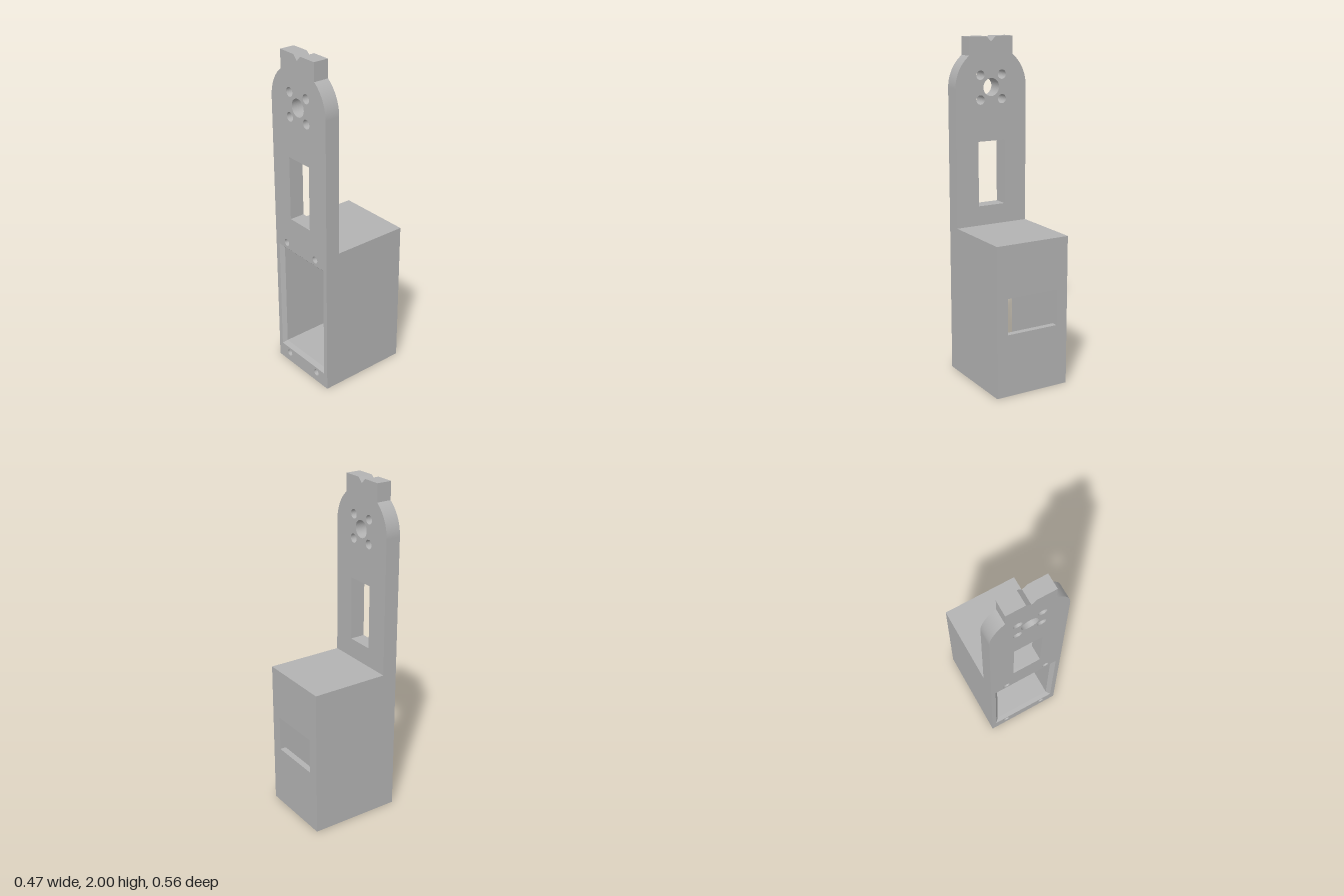
import * as THREE from 'three';

const BACK = -0.278, FRONT = 0.278, PLATE_BACK = 0.187, BEVEL = 0.022;
const HALF = 0.233; // half width of the body

function rect(Kind, x0, x1, y0, y1) {
  return new Kind([[x0, y0], [x1, y0], [x1, y1], [x0, y1]].map(([x, y]) => new THREE.Vector2(x, y)));
}

function circle(x, y, r) {
  return new THREE.Path().absarc(x, y, r, 0, Math.PI * 2, true);
}

// Outline of the upright plate: rounded shoulders and a notched tab
function plateShape(opening) {
  const cy = 1.71, tab = 0.143, a = Math.acos(tab / HALF);
  const s = new THREE.Shape();
  s.moveTo(-HALF, 0);
  s.lineTo(HALF, 0);
  s.lineTo(HALF, cy);
  s.absarc(0, cy, HALF, 0, a, false);
  s.lineTo(tab, 2);
  s.lineTo(0.03, 2);
  s.lineTo(0, 1.97);
  s.lineTo(-0.03, 2);
  s.lineTo(-tab, 2);
  s.lineTo(-tab, cy + HALF * Math.sin(a));
  s.absarc(0, cy, HALF, Math.PI - a, Math.PI, false);
  s.closePath();
  s.holes.push(opening, rect(THREE.Path, -0.087, 0.087, 1.012, 1.397), circle(0, cy, 0.052));
  for (const sx of [-1, 1]) {
    for (const sy of [-1, 1]) s.holes.push(circle(sx * 0.071, cy + sy * 0.071, 0.027));
    for (const y of [0.06, 0.84]) s.holes.push(circle(sx * 0.13, y, 0.021));
  }
  return s;
}

// Square funnel joining the wide mouth to the narrower cavity
function bevelGeometry(x, y0, y1) {
  const ring = (d, z) => [[-x + d, y0 + d, z], [x - d, y0 + d, z], [x - d, y1 - d, z], [-x + d, y1 - d, z]];
  const outer = ring(0, FRONT), inner = ring(BEVEL, FRONT - BEVEL), pos = [];
  for (let i = 0; i < 4; i++) {
    const j = (i + 1) % 4;
    for (const p of [outer[i], outer[j], inner[j], outer[i], inner[j], inner[i]]) pos.push(...p);
  }
  const g = new THREE.BufferGeometry();
  g.setAttribute('position', new THREE.Float32BufferAttribute(pos, 3));
  g.computeVertexNormals();
  return g;
}

export function createModel() {
  const group = new THREE.Group();
  const grey = new THREE.MeshStandardMaterial({ color: 0xb2b2b2 });
  grey.name = 'grey plastic';

  const add = (name, geometry) => {
    const mesh = new THREE.Mesh(geometry, grey);
    mesh.name = name;
    group.add(mesh);
  };
  const slab = (name, shape, z0, z1) => {
    const g = new THREE.ExtrudeGeometry(shape, { depth: z1 - z0, bevelEnabled: false, curveSegments: 32 });
    add(name, g.translate(0, 0, z0));
  };

  const mouthX = 0.204, mouthY0 = 0.095, mouthY1 = 0.803;
  const cavity = () => rect(THREE.Path, -mouthX + BEVEL, mouthX - BEVEL, mouthY0 + BEVEL, mouthY1 - BEVEL);

  // Upright plate, in two layers around the bevelled mouth
  slab('plateFront', plateShape(rect(THREE.Path, -mouthX, mouthX, mouthY0, mouthY1)), FRONT - BEVEL, FRONT);
  slab('plateRear', plateShape(cavity()), PLATE_BACK, FRONT - BEVEL);
  add('mouthBevel', bevelGeometry(mouthX, mouthY0, mouthY1));

  // Hollow housing behind the plate
  const wallZ = BACK + 0.037;
  const housing = rect(THREE.Shape, -HALF, HALF, 0, 0.895);
  housing.holes.push(cavity());
  slab('housing', housing, wallZ, PLATE_BACK);

  // Back wall with its window
  const wall = rect(THREE.Shape, -HALF, HALF, 0, 0.895);
  wall.holes.push(rect(THREE.Path, -0.162, 0.162, 0.371, 0.585));
  slab('backWall', wall, BACK, wallZ);

  return group;
}
